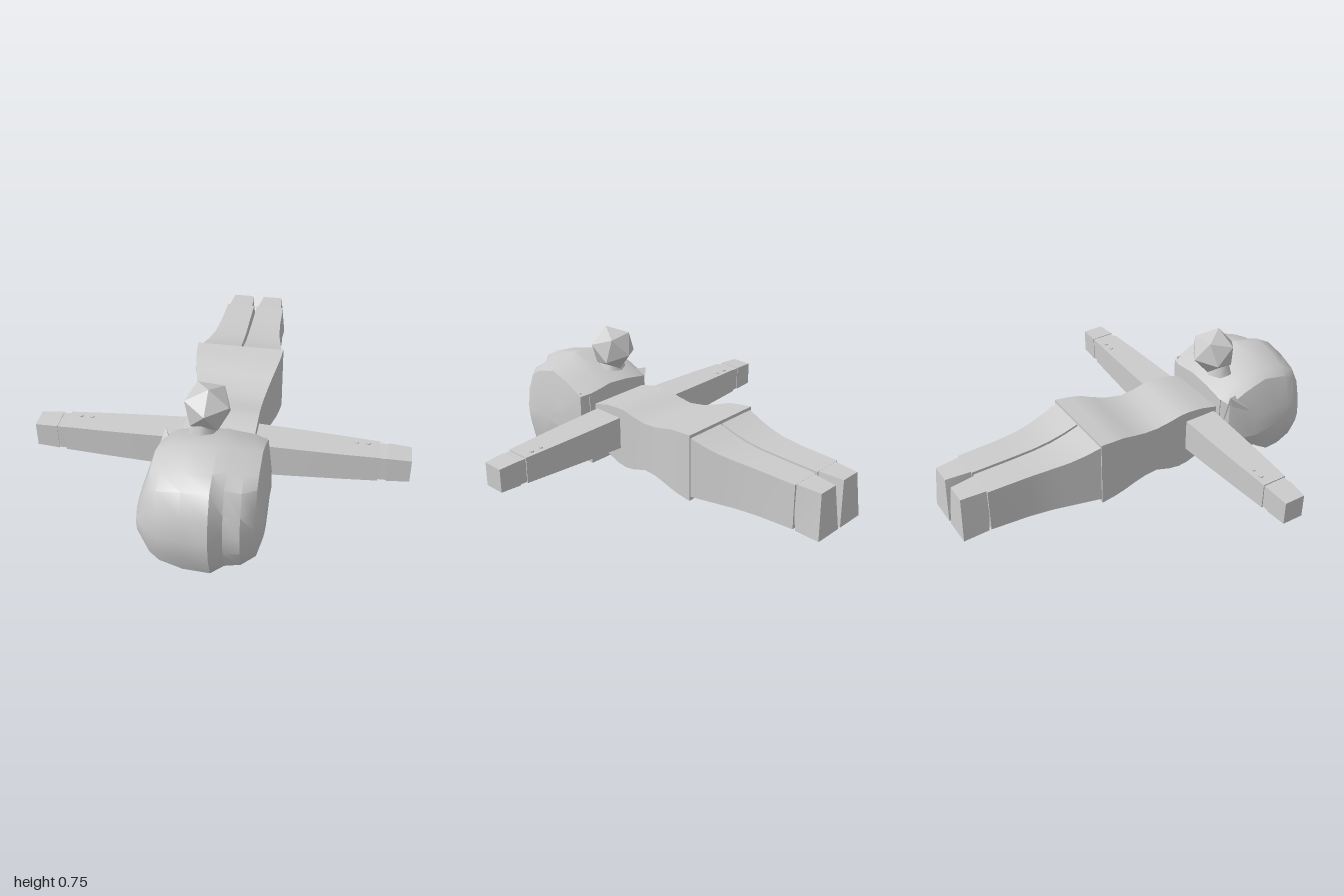
import * as THREE from 'three';
import { toCreasedNormals } from 'three/addons/utils/BufferGeometryUtils.js';
import { ConvexGeometry } from 'three/addons/geometries/ConvexGeometry.js';

const grey = new THREE.MeshStandardMaterial({ color: 0xcccccc });

function part(name, geometry, parent) {
  const mesh = new THREE.Mesh(geometry, grey);
  mesh.name = name;
  parent.add(mesh);
  return mesh;
}

// Closed skin over rings of [x, y, z] points; faces are turned outwards by signed volume
function loft(rings, crease = 0.6) {
  const n = rings[0].length, tris = [];
  const V = (p) => new THREE.Vector3(...p);
  for (let i = 0; i < rings.length - 1; i++) {
    for (let j = 0; j < n; j++) {
      const k = (j + 1) % n;
      const a = V(rings[i][j]), b = V(rings[i][k]), c = V(rings[i + 1][k]), d = V(rings[i + 1][j]);
      tris.push([a, b, c], [a, c, d]);
    }
  }
  const cap = (ring, flip) => {
    const centre = new THREE.Vector3();
    ring.forEach((p) => centre.add(V(p)));
    centre.divideScalar(n);
    ring.forEach((p, j) => {
      const q = V(ring[(j + 1) % n]);
      tris.push(flip ? [centre, q, V(p)] : [centre, V(p), q]);
    });
  };
  cap(rings[0], true);
  cap(rings[rings.length - 1], false);
  let volume = 0;
  for (const [a, b, c] of tris) volume += a.dot(b.clone().cross(c));
  const points = tris.flatMap(([a, b, c]) => (volume < 0 ? [a, c, b] : [a, b, c]));
  return toCreasedNormals(new THREE.BufferGeometry().setFromPoints(points), crease);
}

// Rectangular ring across z, and across x
const ringZ = ([z, x0, x1, y0, y1]) => [[x0, y0, z], [x1, y0, z], [x1, y1, z], [x0, y1, z]];
const ringX = ([x, z0, z1, y0, y1]) => [[x, y0, z0], [x, y0, z1], [x, y1, z1], [x, y1, z0]];

function addTorso(model) {
  // z, half width, underside, back
  const sections = [
    [0.42, 0.17, 0.175, 0.405], [0.33, 0.172, 0.15, 0.428], [0.25, 0.172, 0.12, 0.435],
    [0.2, 0.171, 0.112, 0.432], [0.14, 0.17, 0.12, 0.418], [0.06, 0.172, 0.147, 0.408],
    [-0.02, 0.182, 0.15, 0.418], [-0.09, 0.195, 0.145, 0.438], [-0.16, 0.211, 0.14, 0.463],
    [-0.22, 0.22, 0.135, 0.472], [-0.295, 0.226, 0.13, 0.48],
  ];
  part('torso', loft(sections.map(([z, w, y0, y1]) => ringZ([z, -w, w, y0, y1]))), model);
}

function addLimbs(model, side) {
  const group = new THREE.Group();
  group.name = side > 0 ? 'leftLimbs' : 'rightLimbs';
  model.add(group);
  const m = (rings) => loft(rings.map((r) => r.map(([x, y, z]) => [x * side, y, z])));

  // Trouser leg
  part('leg', m([
    [-0.29, 0.005, 0.22, 0.15, 0.465], [-0.37, 0.006, 0.207, 0.155, 0.44],
    [-0.45, 0.007, 0.193, 0.16, 0.422], [-0.54, 0.007, 0.177, 0.165, 0.412],
    [-0.66, 0.008, 0.166, 0.172, 0.408], [-0.86, 0.008, 0.16, 0.18, 0.405],
  ].map(ringZ)), group);

  // Shoe, flared towards the toes
  part('shoe', m([
    [[0.012, 0.175, -0.87], [0.155, 0.175, -0.87], [0.15, 0.405, -0.845], [0.015, 0.405, -0.845]],
    [[0.008, 0.172, -1], [0.158, 0.172, -1], [0.137, 0.4, -0.985], [0.032, 0.4, -0.985]],
  ]), group);

  // Sleeve, wrist band and hand: x, z range, y range
  part('sleeve', m([
    [0.17, 0.235, 0.406, 0.212, 0.383], [0.35, 0.241, 0.403, 0.218, 0.378],
    [0.55, 0.25, 0.398, 0.225, 0.372], [0.757, 0.262, 0.389, 0.231, 0.366],
  ].map(ringX)), group);
  part('wristBand', m([
    [0.755, 0.267, 0.384, 0.236, 0.36], [0.797, 0.268, 0.383, 0.236, 0.36],
  ].map(ringX)), group);
  part('hand', m([
    [0.795, 0.265, 0.386, 0.233, 0.363], [0.905, 0.271, 0.379, 0.236, 0.357],
  ].map(ringX)), group);
  for (const x of [0.645, 0.7]) {
    part('cuffButton', new THREE.CylinderGeometry(0.011, 0.011, 0.008, 8), group)
      .position.set(side * x, 0.37, 0.29);
  }

  // Pointed lock beside the ear
  const lock = [[0.235, 0.48, 0.455], [0.262, 0.39, 0.56], [0.245, 0.22, 0.54], [0.19, 0.24, 0.435], [0.19, 0.45, 0.56]];
  part('sideLock', new ConvexGeometry(lock.map(([x, y, z]) => new THREE.Vector3(x * side, y, z))), group);

  // Eye on the downward face
  part('eye', new THREE.BoxGeometry(0.1, 0.004, 0.07), group).position.set(side * 0.085, 0.064, 0.585);
}

function addHead(model) {
  part('neck', new THREE.BoxGeometry(0.16, 0.17, 0.08), model).position.set(0, 0.29, 0.425);
  part('face', new THREE.BoxGeometry(0.385, 0.385, 0.36), model).position.set(0.005, 0.2575, 0.61);

  // Hair: one side profile (z, y as 0..1) resized at each x, stepping back beside the parting
  const profile = [
    [0, 0.82], [0.21, 0.92], [0.47, 1], [0.74, 0.94], [0.88, 0.86], [0.965, 0.67], [1, 0.47],
    [0.975, 0.28], [0.9, 0.09], [0.74, 0.01], [0.58, 0], [0.42, 0.1], [0.2, 0.33], [0, 0.33],
  ];
  const sections = [
    [-0.285, 0.6, 0.88, 0.16, 0.35], [-0.232, 0.46, 0.93, 0.05, 0.515], [-0.18, 0.43, 0.97, 0.035, 0.545],
    [-0.07, 0.43, 0.99, 0.01, 0.575], [0.055, 0.43, 1, 0.01, 0.588], [0.11, 0.43, 0.945, 0.018, 0.575],
    [0.185, 0.43, 0.94, 0.035, 0.56], [0.245, 0.45, 0.885, 0.055, 0.545], [0.272, 0.53, 0.85, 0.17, 0.38],
  ];
  part('hair', loft(sections.map(([x, z0, z1, y0, y1]) =>
    profile.map(([u, v]) => [x, y0 + v * (y1 - y0), z0 + u * (z1 - z0)])), 0.65), model);

  // Faceted bun and its tie
  const tie = part('hairTie', new THREE.CylinderGeometry(0.05, 0.07, 0.06, 6), model);
  tie.position.set(-0.05, 0.55, 0.52);
  const bun = part('hairBun', new THREE.IcosahedronGeometry(0.12, 0), model);
  bun.position.set(-0.03, 0.645, 0.49);
  bun.rotation.set(0.35, 0.3, 0.45);
}

export function createModel() {
  const model = new THREE.Group();
  model.name = 'lyingFigure';
  addTorso(model);
  for (const side of [1, -1]) addLimbs(model, side);
  addHead(model);
  return model;
}
